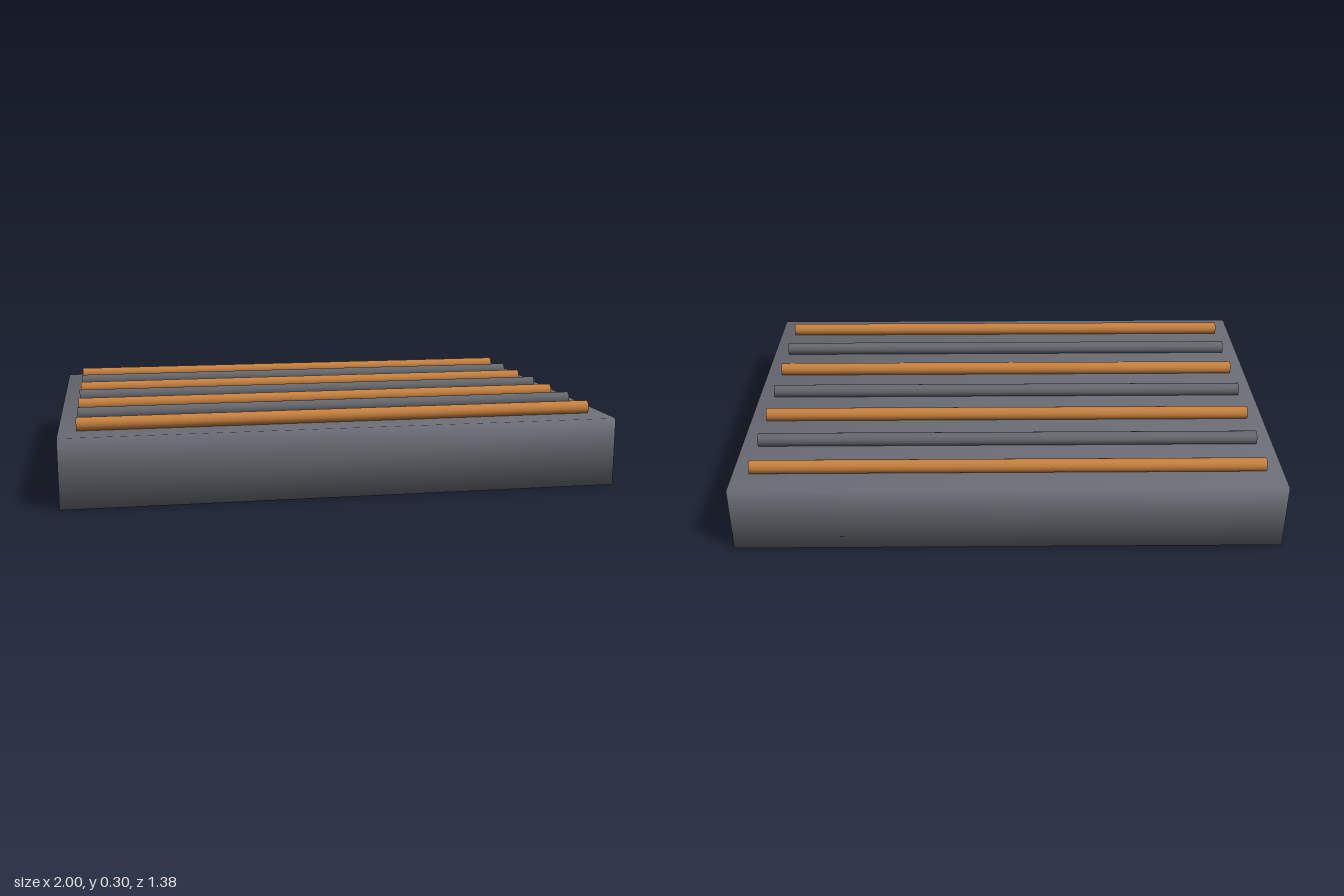
import * as THREE from 'three';
import { mergeVertices } from 'three/addons/utils/BufferGeometryUtils.js';

// Shares corners so the shading runs smoothly over every edge
function smooth(geometry) {
  geometry.deleteAttribute('uv');
  geometry.deleteAttribute('normal');
  const merged = mergeVertices(geometry, 1e-4);
  merged.computeVertexNormals();
  return merged;
}

function makeMaterial(name, color) {
  const material = new THREE.MeshStandardMaterial({ color });
  material.name = name;
  return material;
}

export function createModel() {
  const model = new THREE.Group();
  model.name = 'rodTray';
  const slate = makeMaterial('slate grey', 0x6b6d75);
  const steel = makeMaterial('steel grey', 0x66686d);
  const copper = makeMaterial('copper', 0xc8813f);

  // Solid base slab
  const base = new THREE.Mesh(smooth(new THREE.BoxGeometry(2, 0.25, 1.375)), slate);
  base.name = 'base';
  base.position.y = 0.125;
  model.add(base);

  // Seven rods along x, copper and steel in turn
  const rodGeometry = smooth(new THREE.CylinderGeometry(0.025, 0.025, 1.875, 20).rotateZ(Math.PI / 2));
  for (let i = 0; i < 7; i++) {
    const isCopper = i % 2 === 0;
    const rod = new THREE.Mesh(rodGeometry, isCopper ? copper : steel);
    rod.name = isCopper ? 'copperRod' : 'steelRod';
    rod.position.set(0, 0.271, (i - 3) * 0.1875);
    model.add(rod);
  }
  return model;
}
